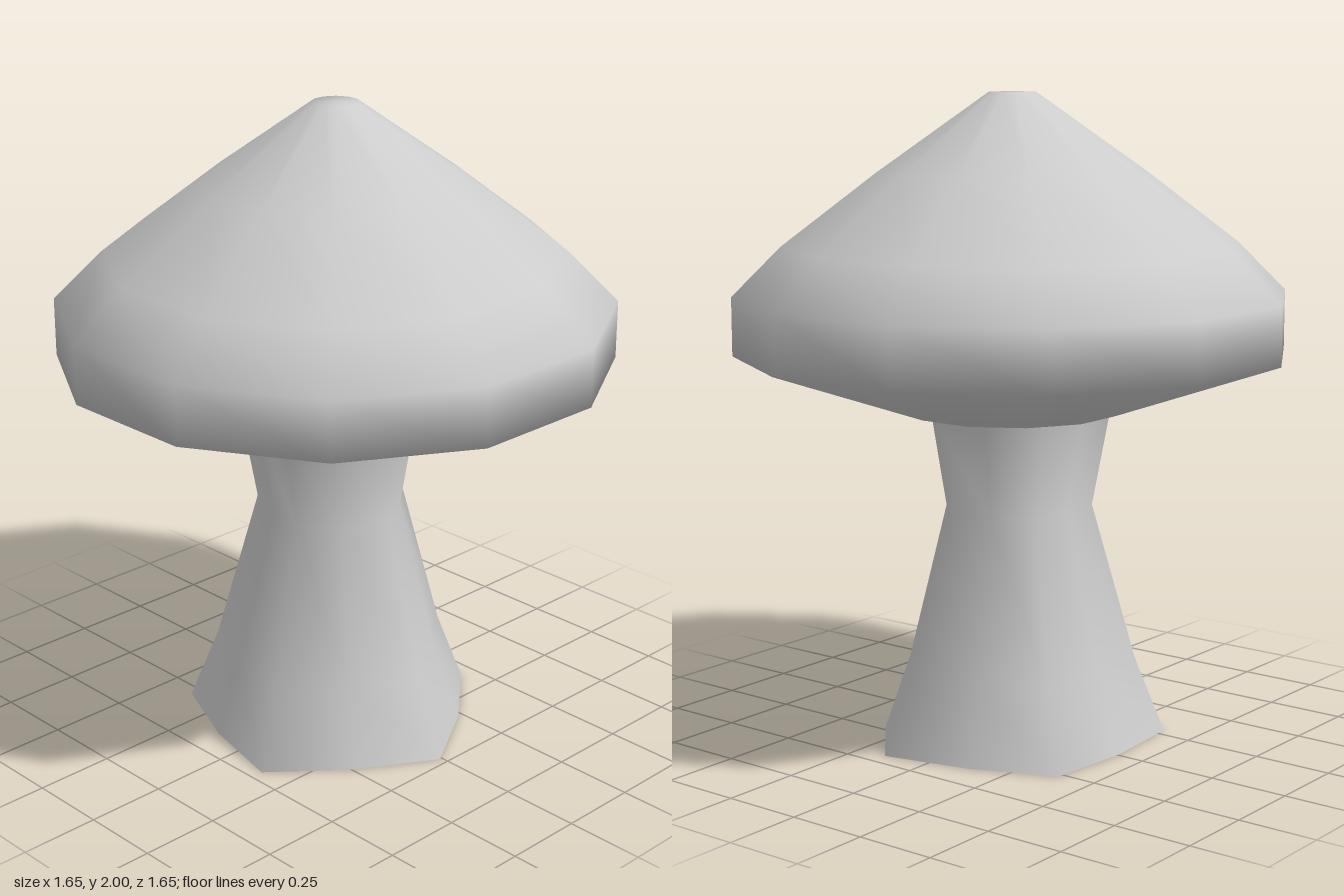
import * as THREE from 'three';
import { mergeVertices } from 'three/addons/utils/BufferGeometryUtils.js';

const material = new THREE.MeshStandardMaterial({ color: 0xcccccc });

// Turned surface with smooth normals; every second column is scaled by `inset`
function turned(name, profile, sides, start, inset = 1) {
  const points = profile.map(([r, y]) => new THREE.Vector2(r, y));
  let geometry = new THREE.LatheGeometry(points, sides, start);
  const pos = geometry.attributes.position;
  for (let i = 0; i < pos.count; i++) {
    const k = Math.floor(i / points.length) % 2 ? inset : 1;
    pos.setXYZ(i, pos.getX(i) * k, pos.getY(i), pos.getZ(i) * k);
  }
  // Weld the seam so shading runs all the way round
  geometry.deleteAttribute('uv');
  geometry.deleteAttribute('normal');
  geometry = mergeVertices(geometry, 1e-4);
  geometry.computeVertexNormals();
  const mesh = new THREE.Mesh(geometry, material);
  mesh.name = name;
  return mesh;
}

export function createModel() {
  const model = new THREE.Group();
  model.name = 'mushroom';

  // Twelve-sided cap, flats facing the axes
  const flat = 1 / Math.cos(Math.PI / 12);
  const capProfile = [
    [0, 1.03], [0.325, 1.03], [0.825, 1.21], [0.825, 1.39],
    [0.68, 1.54], [0.4, 1.76], [0.07, 2], [0, 2],
  ].map(([r, y]) => [r * flat, y]);
  model.add(turned('cap', capProfile, 12, Math.PI / 12));

  // Five-lobed stem, narrow at the waist, with a flat base
  const stem = new THREE.Group();
  stem.name = 'stem';
  const stemProfile = [[0.475, 0], [0.38, 0.24], [0.243, 0.73], [0.3, 1.04]];
  stem.add(turned('stemSide', stemProfile, 10, Math.PI / 2, 0.86));
  stem.add(turned('stemBase', [[0, 0], [0.475, 0]], 10, Math.PI / 2, 0.86));
  stem.position.z = 0.008;
  model.add(stem);

  return model;
}
